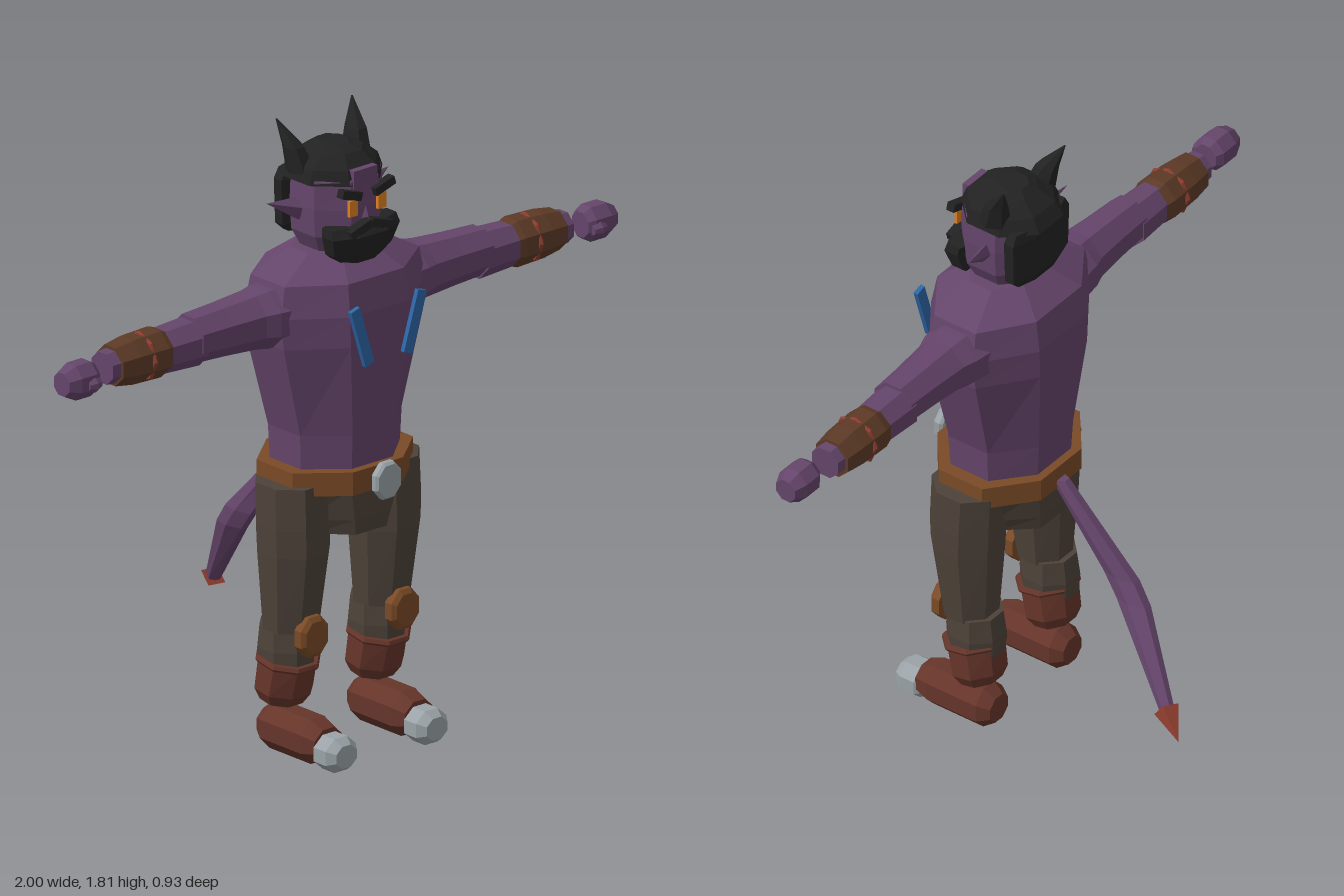
import * as THREE from 'three';

const mat = (name, color) => {
  const m = new THREE.MeshStandardMaterial({ color, flatShading: true });
  m.name = name;
  return m;
};

// Skin a stack of n-sided rings [y, halfX, halfZ, centreX, centreZ], lowest first.
function loft(rings, n = 8) {
  const pos = [], idx = [], k = 1 / Math.cos(Math.PI / n);
  for (const [y, a, b, cx = 0, cz = 0] of rings) {
    for (let i = 0; i < n; i++) {
      const t = ((i + 0.5) / n) * Math.PI * 2;
      pos.push(cx + Math.sin(t) * a * k, y, cz + Math.cos(t) * b * k);
    }
  }
  for (let r = 0; r < rings.length - 1; r++) {
    for (let i = 0; i < n; i++) {
      const a = r * n + i, b = r * n + ((i + 1) % n);
      idx.push(a, b, b + n, a, b + n, a + n);
    }
  }
  const top = (rings.length - 1) * n;
  for (let i = 1; i < n - 1; i++) idx.push(0, i + 1, i, top, top + i, top + i + 1);
  const g = new THREE.BufferGeometry();
  g.setAttribute('position', new THREE.Float32BufferAttribute(pos, 3));
  g.setIndex(idx);
  g.computeVertexNormals();
  return g;
}

// Cone from one point to another, optionally flattened.
function spike(from, to, r, sides, flat = 1) {
  const a = new THREE.Vector3(...from), d = new THREE.Vector3(...to).sub(a);
  const h = d.length();
  const g = new THREE.ConeGeometry(r, h, sides).scale(1, 1, flat).translate(0, h / 2, 0);
  g.applyQuaternion(new THREE.Quaternion().setFromUnitVectors(new THREE.Vector3(0, 1, 0), d.normalize()));
  return g.translate(a.x, a.y, a.z);
}

export function createModel() {
  const model = new THREE.Group();
  model.name = 'hornedFigure';
  const skin = mat('purple skin', 0x65456b), hair = mat('black hair', 0x222222);
  const eye = mat('orange eyes', 0xe08020), blue = mat('blue straps', 0x2c66a8);
  const leather = mat('tan leather', 0x7a4a26), bracerMat = mat('brown bracers', 0x5c3a26);
  const red = mat('red trim', 0x8c3c2e), boot = mat('boot leather', 0x66352a);
  const steel = mat('grey steel', 0x9aa3a8), cloth = mat('dark trousers', 0x4d4239);

  const add = (name, geo, material, x = 0, y = 0, z = 0) => {
    const m = new THREE.Mesh(geo, material);
    m.name = name;
    m.position.set(x, y, z);
    model.add(m);
    return m;
  };
  const box = (w, h, d) => new THREE.BoxGeometry(w, h, d);
  const C = 0.23; // depth of the body axis

  // Torso, belt and hips
  add('torso', loft([
    [0.82, 0.18, 0.153], [0.94, 0.185, 0.16], [1.21, 0.254, 0.186],
    [1.3, 0.262, 0.186], [1.39, 0.245, 0.17], [1.452, 0.13, 0.09],
  ]), skin, 0, 0, C);
  add('neck', loft([[1.4, 0.08, 0.08], [1.52, 0.08, 0.08]]), skin, 0, 0, C);
  add('belt', loft([[0.775, 0.22, 0.178], [0.843, 0.22, 0.178]]), leather, 0, 0, C);
  add('buckle', loft([[0, 0.04, 0.046], [0.008, 0.046, 0.053], [0.022, 0.046, 0.053], [0.03, 0.04, 0.046]])
    .rotateX(Math.PI / 2), steel, 0, 0.81, 0.428);
  add('hips', loft([[0.645, 0.135, 0.15], [0.69, 0.157, 0.156], [0.79, 0.2, 0.162]]), cloth, 0, 0, C);

  // Head, hair and beard
  add('head', loft([[1.44, 0.09, 0.09], [1.5, 0.12, 0.118], [1.58, 0.125, 0.122],
    [1.66, 0.122, 0.118], [1.71, 0.08, 0.08]]), skin, 0, 0, 0.235);
  add('hairCap', loft([[1.65, 0.133, 0.134, 0, 0.22], [1.69, 0.118, 0.115, 0, 0.225],
    [1.725, 0.075, 0.075, 0, 0.23], [1.74, 0.04, 0.045, 0, 0.22]]), hair);
  add('backHair', loft([[1.475, 0.095, 0.026], [1.5, 0.122, 0.036], [1.63, 0.126, 0.038],
    [1.66, 0.11, 0.034]]), hair, 0, 0, 0.137);
  add('forehead', box(0.085, 0.055, 0.03), skin, 0, 1.665, 0.343);
  add('beard', loft([[1.425, 0.07, 0.035, 0, 0.325], [1.455, 0.105, 0.046, 0, 0.328],
    [1.51, 0.122, 0.054, 0, 0.338], [1.535, 0.118, 0.045, 0, 0.33]]), hair);
  add('nose', spike([0, 1.53, 0.355], [0, 1.6, 0.352], 0.022, 4), skin);

  // Tail with barbed tip
  add('tail', loft([[0.265, 0.014, 0.022, 0.108, -0.395], [0.5, 0.022, 0.05, 0.012, -0.205],
    [0.56, 0.022, 0.052, 0, -0.155], [0.8, 0.018, 0.028, 0, 0.06]], 6), skin);
  add('tailTip', spike([0.104, 0.272, -0.388], [0.15, 0.22, -0.465], 0.037, 4, 0.8), red);

  for (const s of [1, -1]) {
    const side = s > 0 ? 'left' : 'right';
    const along = (rings) => loft(rings).rotateZ(-s * Math.PI / 2);

    // Face
    add(side + 'Eye', box(0.03, 0.046, 0.009), eye, s * 0.052, 1.59, 0.363);
    add(side + 'Brow', box(0.072, 0.024, 0.025), hair, s * 0.06, 1.63, 0.36).rotation.z = s * 0.3;
    add(side + 'Moustache', box(0.08, 0.024, 0.03), hair, s * 0.038, 1.53, 0.372).rotation.z = -s * 0.3;
    add(side + 'Ear', spike([s * 0.115, 1.568, 0.22], [s * 0.222, 1.6, 0.2], 0.034, 4, 0.6), skin);
    add(side + 'Horn', loft([[1.67, 0.037, 0.04, s * 0.1, 0.205], [1.74, 0.026, 0.029, s * 0.114, 0.187],
      [1.812, 0.002, 0.002, s * 0.138, 0.145]], 6), hair);

    // Chest strap
    add(side + 'Strap', box(0.033, 0.178, 0.014), blue, s * 0.096, 1.25, 0.447).rotation.z = -s * 0.3;

    // Arm
    add(side + 'UpperArm', along([[0.2, 0.085, 0.1], [0.27, 0.083, 0.09], [0.31, 0.077, 0.077],
      [0.42, 0.07, 0.068], [0.53, 0.065, 0.063]]), skin, 0, 1.29, 0.225);
    add(side + 'Forearm', along([[0.51, 0.066, 0.064], [0.64, 0.06, 0.058], [0.84, 0.044, 0.044]]),
      skin, 0, 1.28, 0.222);
    add(side + 'Bracer', along([[0.62, 0.057, 0.057], [0.65, 0.067, 0.065], [0.75, 0.064, 0.062],
      [0.81, 0.055, 0.055]]), bracerMat, 0, 1.28, 0.22);
    add(side + 'BracerBand', new THREE.TorusGeometry(0.066, 0.008, 6, 8).rotateY(Math.PI / 2),
      red, s * 0.703, 1.28, 0.22);
    add(side + 'Hand', along([[0.89, 0.036, 0.034], [0.91, 0.05, 0.047], [0.965, 0.05, 0.047],
      [1, 0.033, 0.032]]), skin, 0, 1.275, 0.235);
    add(side + 'Thumb', along([[-0.022, 0.013, 0.013], [0, 0.021, 0.021], [0.022, 0.013, 0.013]]),
      skin, s * 0.92, 1.267, 0.276);

    // Leg
    const X = s * 0.165;
    add(side + 'Thigh', loft([[0.37, 0.076, 0.074, 0, 0.237], [0.6, 0.097, 0.098, 0, 0.247],
      [0.68, 0.099, 0.1, 0, 0.245], [0.8, 0.097, 0.1, 0, 0.24]]), cloth, X);
    add(side + 'Shin', loft([[0.24, 0.072, 0.076], [0.31, 0.077, 0.08], [0.38, 0.072, 0.07]]),
      cloth, X, 0, 0.217);
    add(side + 'KneePad', loft([[0, 0.05, 0.058], [0.026, 0.05, 0.058], [0.036, 0.038, 0.045]])
      .rotateX(Math.PI / 2), leather, X, 0.363, 0.307);
    add(side + 'BootShaft', loft([[-0.065, 0.062, 0.055], [-0.03, 0.081, 0.073], [0.06, 0.08, 0.08]]),
      boot, X, 0.215, 0.212).rotation.x = 0.18;
    add(side + 'BootCuff', loft([[0, 0.082, 0.082], [0.008, 0.087, 0.087], [0.018, 0.082, 0.082]]),
      boot, X, 0.265, 0.222).rotation.x = 0.18;
    add(side + 'Foot', loft([[0.14, 0.04, 0.04], [0.175, 0.06, 0.064], [0.345, 0.06, 0.064],
      [0.39, 0.05, 0.045]]).rotateX(Math.PI / 2), boot, X, 0.066, 0);
    add(side + 'ToeCap', loft([[0.375, 0.042, 0.037], [0.392, 0.055, 0.049], [0.44, 0.055, 0.049],
      [0.465, 0.037, 0.032]]).rotateX(Math.PI / 2), steel, X, 0.05, 0);
  }
  return model;
}
